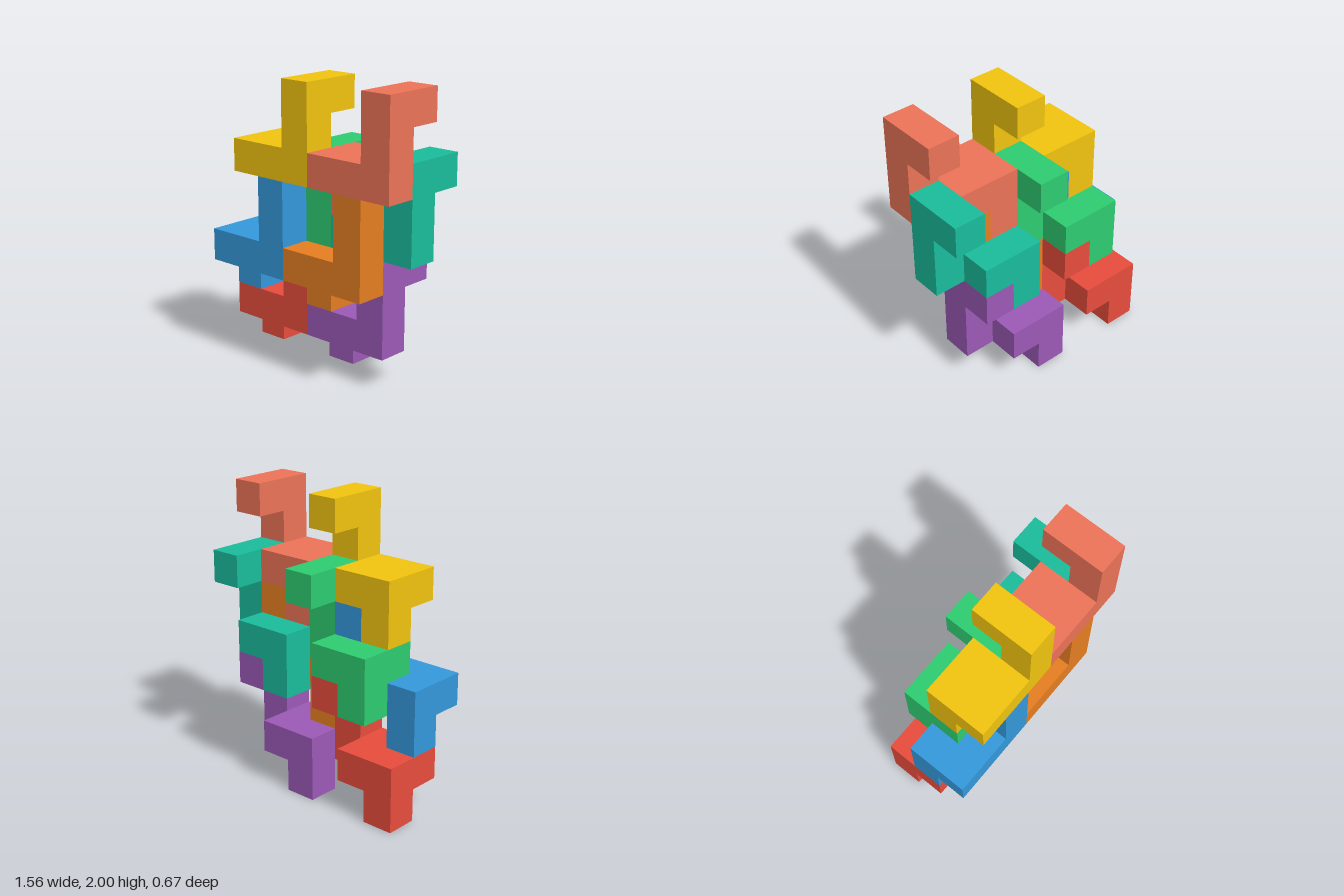
import * as THREE from 'three';
import { mergeGeometries } from 'three/addons/utils/BufferGeometryUtils.js';

const U = 2 / 9; // edge of one unit cube

// Unit cubes of the interlocking block, shared by every piece
const CELLS = [
  [0, 0, 0], [1, 0, 0], [2, 0, 0], [2, 1, 0], [2, 2, 0], // front L
  [2, 2, -1],                                            // upper hook
  [0, 0, -1], [1, 0, -1], [0, -1, -1],                   // rear corner with foot
];

// Outward directions and the turn that makes a plane face each one
const SIDES = [
  [[0, 0, 1], [0, 0]], [[0, 0, -1], [0, Math.PI]],
  [[1, 0, 0], [0, Math.PI / 2]], [[-1, 0, 0], [0, -Math.PI / 2]],
  [[0, 1, 0], [-Math.PI / 2, 0]], [[0, -1, 0], [Math.PI / 2, 0]],
];

// Closed skin of the block: only faces without a neighbouring cube
function blockGeometry() {
  const filled = new Set(CELLS.map(String));
  const faces = [];
  for (const [x, y, z] of CELLS) {
    for (const [[dx, dy, dz], [rx, ry]] of SIDES) {
      if (filled.has(String([x + dx, y + dy, z + dz]))) continue;
      faces.push(new THREE.PlaneGeometry(U, U)
        .rotateX(rx).rotateY(ry)
        .translate((x + dx / 2) * U, (y + dy / 2) * U, (z + dz / 2) * U));
    }
  }
  return mergeGeometries(faces);
}

// Name, colour and grid cell (column, row, layer) of each piece's first cube
const PIECES = [
  ['redBlock', 0xe74c3c, [0, 1, 1]],
  ['purpleBlock', 0x9b59b6, [3, 1, 1]],
  ['blueBlock', 0x3498db, [0, 3, 2]],
  ['orangeBlock', 0xe67e22, [3, 3, 2]],
  ['greenBlock', 0x2ecc71, [1, 4, 1]],
  ['tealBlock', 0x1abc9c, [4, 4, 1]],
  ['yellowBlock', 0xf1c40f, [1, 6, 2]],
  ['salmonBlock', 0xec7357, [4, 6, 2]],
];

export function createModel() {
  const model = new THREE.Group();
  model.name = 'interlockingBlocks';
  const geometry = blockGeometry();
  for (const [name, color, [col, row, layer]] of PIECES) {
    const mesh = new THREE.Mesh(geometry, new THREE.MeshStandardMaterial({ color }));
    mesh.name = name;
    mesh.position.set((col - 3) * U, (row + 0.5) * U, (layer - 1) * U);
    model.add(mesh);
  }
  return model;
}
